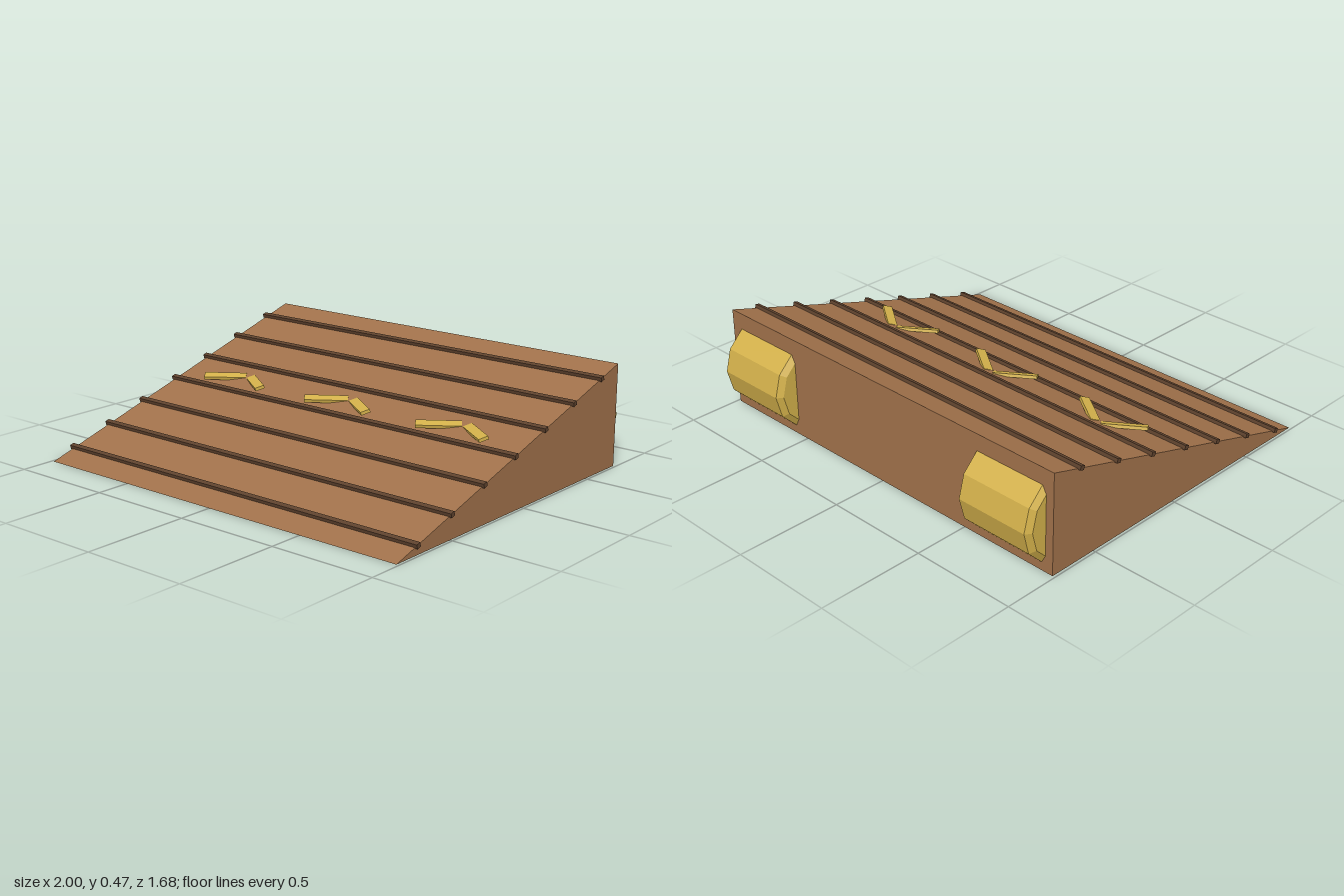
import * as THREE from 'three';

export function createModel() {
  const model = new THREE.Group();
  const wood = new THREE.MeshStandardMaterial({ color: 0xa0714a, flatShading: true });
  wood.name = 'wood';
  const darkWood = new THREE.MeshStandardMaterial({ color: 0x5e422d, flatShading: true });
  darkWood.name = 'dark wood';
  const gold = new THREE.MeshStandardMaterial({ color: 0xd2b04a, flatShading: true });
  gold.name = 'gold';

  const front = 0.84, back = -0.74, height = 0.475;
  const slope = Math.atan2(height, front - back);
  const rampY = (z) => (front - z) * Math.tan(slope);

  const add = (geometry, material, name, x, y, z, parent = model) => {
    const mesh = new THREE.Mesh(geometry, material);
    mesh.name = name;
    mesh.position.set(x, y, z);
    parent.add(mesh);
    return mesh;
  };

  // Wedge body: side profile extruded across the width
  const profile = new THREE.Shape([
    new THREE.Vector2(-front, 0),
    new THREE.Vector2(-back, 0),
    new THREE.Vector2(-back, height),
  ]);
  const wedge = new THREE.ExtrudeGeometry(profile, { depth: 1.976, bevelEnabled: false });
  wedge.translate(0, 0, -0.988).rotateY(Math.PI / 2);
  add(wedge, wood, 'ramp', 0, 0, 0);

  // Grip slats lying across the slope
  const slat = new THREE.BoxGeometry(2, 0.02, 0.022);
  for (let i = 0; i < 7; i++) {
    const z = 0.717 - i * 0.2183;
    add(slat, darkWood, 'gripSlat', 0, rampY(z) + 0.006, z).rotation.x = slope;
  }

  // Chevron arrows, each arm tilted about its own length
  const arm = new THREE.BoxGeometry(0.2, 0.015, 0.044);
  for (const x of [-0.635, 0, 0.635]) {
    const chevron = new THREE.Group();
    chevron.name = 'chevron';
    chevron.position.x = x;
    for (const side of [-1, 1]) {
      const bar = add(arm, gold, 'chevronArm', side * 0.0975, 0.271, -0.023, chevron);
      bar.rotation.set(slope, -side * 0.61, 0, 'YXZ');
    }
    model.add(chevron);
  }

  // Chamfered twelve-sided rollers set into the back
  const roller = new THREE.LatheGeometry([
    new THREE.Vector2(0, -0.197),
    new THREE.Vector2(0.183, -0.197),
    new THREE.Vector2(0.21, -0.177),
    new THREE.Vector2(0.21, 0.177),
    new THREE.Vector2(0.183, 0.197),
    new THREE.Vector2(0, 0.197),
  ], 12).rotateZ(Math.PI / 2);
  for (const side of [-1, 1]) add(roller, gold, 'backRoller', side * 0.752, 0.218, -0.632);

  return model;
}
